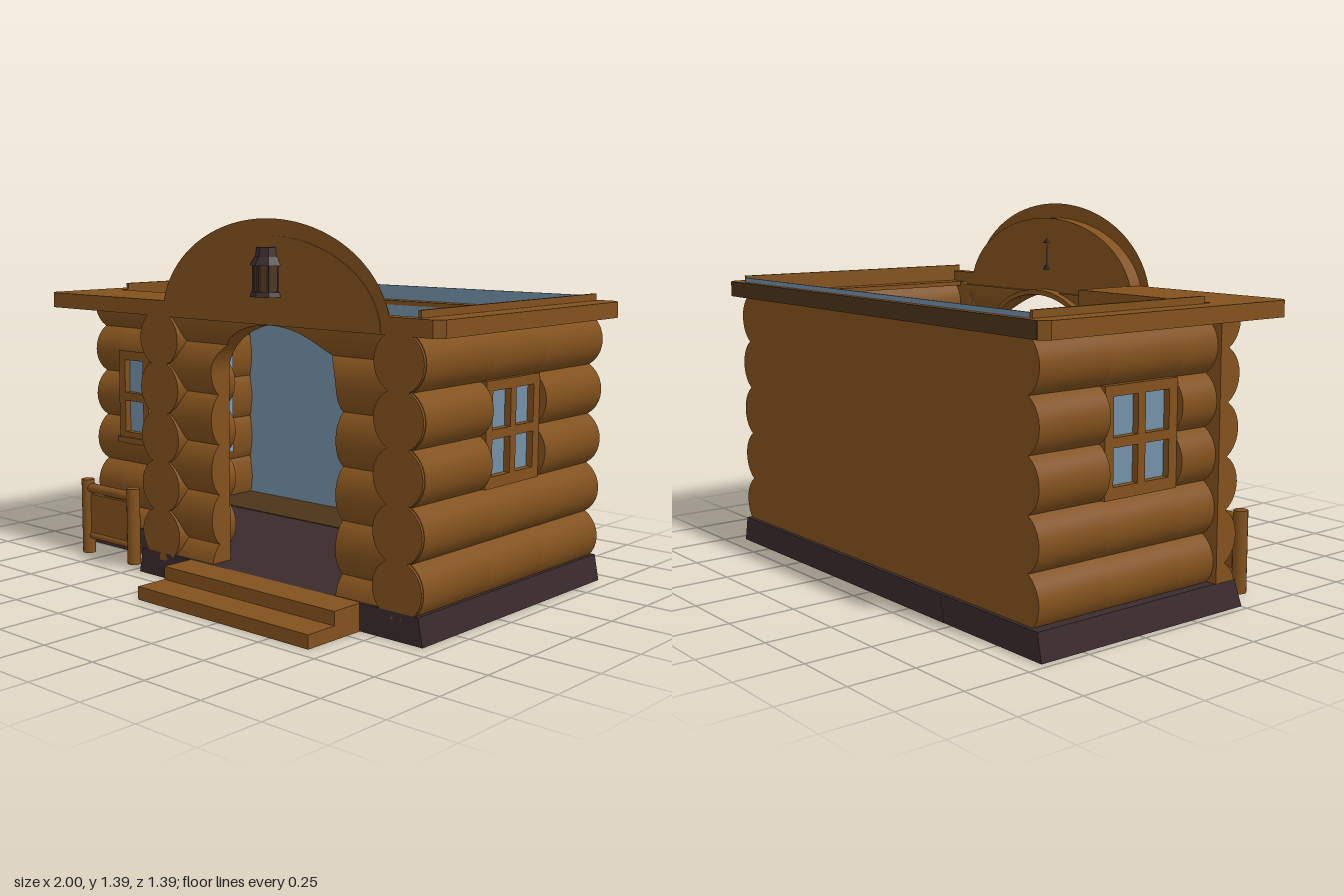
import * as THREE from 'three';
import { toCreasedNormals } from 'three/addons/utils/BufferGeometryUtils.js';

const mat = (name, color) => {
  const m = new THREE.MeshStandardMaterial({ color });
  m.name = name;
  return m;
};
const PITCH = 0.19, R = 0.11;

// 0 at the seam between two logs, 1 at the middle of a log
function bulge(y, seam) {
  const u = (y - seam) / PITCH;
  const t = (u - Math.floor(u) - 0.5) * PITCH;
  return (Math.sqrt(R * R - t * t) - 0.055) / 0.055;
}

// Heights that sample each log evenly by angle
function logRows(y0, y1, seam, extra = []) {
  const rows = [y0, y1, ...extra];
  for (let k = -2; k < 7; k++) {
    for (let i = 0; i < 10; i++) {
      const y = seam + PITCH * (k + 0.5) + R * Math.sin((i / 10 - 0.5) * 2 * Math.asin(0.095 / R));
      if (y > y0 + 0.002 && y < y1 - 0.002) rows.push(y);
    }
  }
  return rows.sort((a, b) => a - b);
}

// Stack of rectangles: section(y) returns [x0, x1, z0, z1]
function loft(rows, section) {
  const pos = [], idx = [];
  rows.forEach((y, r) => {
    const [x0, x1, z0, z1] = section(y);
    pos.push(x0, y, z1, x1, y, z1, x1, y, z0, x0, y, z0);
    if (!r) return;
    for (let i = 0; i < 4; i++) {
      const a = (r - 1) * 4 + i, b = (r - 1) * 4 + (i + 1) % 4;
      idx.push(a, b, b + 4, a, b + 4, a + 4);
    }
  });
  const t = (rows.length - 1) * 4;
  idx.push(0, 2, 1, 0, 3, 2, t, t + 1, t + 2, t, t + 2, t + 3);
  const g = new THREE.BufferGeometry();
  g.setAttribute('position', new THREE.Float32BufferAttribute(pos, 3));
  g.setIndex(idx);
  return toCreasedNormals(g, 0.6);
}

function rectPath(PathType, x0, x1, y0, y1) {
  return new PathType([[x0, y0], [x1, y0], [x1, y1], [x0, y1]].map(p => new THREE.Vector2(...p)));
}

export function createModel() {
  const wood = mat('log brown', 0x82511d);
  wood.side = THREE.DoubleSide;
  const stone = mat('dark foundation', 0x3a2a2c);
  const blue = mat('pale blue', 0x7390a7);
  const lightBlue = mat('light blue', 0x7d9cb5);
  const darkWood = mat('dark wood', 0x4c341a);
  const model = new THREE.Group();
  model.name = 'logCabin';

  const add = (name, geo, m, x = 0, y = 0, z = 0, parent = model) => {
    const mesh = new THREE.Mesh(geo, m);
    mesh.name = name;
    mesh.position.set(x, y, z);
    parent.add(mesh);
    return mesh;
  };
  const box = (name, m, x0, x1, y0, y1, z0, z1, parent) =>
    add(name, new THREE.BoxGeometry(x1 - x0, y1 - y0, z1 - z0), m,
      (x0 + x1) / 2, (y0 + y1) / 2, (z0 + z1) / 2, parent);
  const extrude = (shape, depth) =>
    toCreasedNormals(new THREE.ExtrudeGeometry(shape, { depth, bevelEnabled: false, curveSegments: 32 }), 0.6);

  // Foundation with sloping ends, and brown strips of floor and underside
  add('foundationMain', loft([0.001, 0.1], y => [-0.46 + y * 0.2, 0.945 - y * 0.2, -0.68, 0.435]), stone);
  add('foundationSide', loft([0.001, 0.1], y => [-0.975 + y * 0.2, -0.4, -0.679, 0.25 - y * 0.2]), stone);
  box('floorBack', darkWood, -0.87, 0.82, 0.095, 0.103, -0.61, -0.33);
  box('undersideBack', darkWood, -0.95, 0.92, 0, 0.008, -0.67, -0.33);

  // Steps
  box('lowerStep', wood, -0.17, 0.675, 0, 0.05, 0.43, 0.695);
  box('upperStep', wood, -0.17, 0.675, 0.05, 0.1, 0.43, 0.565);

  // Back wall with painted inner face
  box('backWall', wood, -0.89, 0.885, 0.1, 1.03, -0.665, -0.615);
  box('backWallPaint', blue, -0.87, 0.84, 0.1, 1.03, -0.615, -0.61);

  // Side walls of stacked logs, built around the window opening
  const win = { y0: 0.465, y1: 0.84, half: 0.165 };
  const sideWall = (name, s, inner, innerDepth, outer, z1, winZ) => {
    const sec = (a, b) => y => {
      const k = bulge(y, 0.27);
      const xi = inner + innerDepth * (1 - k), xo = outer + 0.055 * k;
      return s > 0 ? [xi, xo, a, b] : [-xo, -xi, a, b];
    };
    [[0.1, 1.03, -0.665, winZ - win.half], [0.1, 1.03, winZ + win.half, z1],
      [0.1, win.y0, winZ - win.half, winZ + win.half],
      [win.y1, 1.03, winZ - win.half, winZ + win.half]].forEach(([y0, y1, a, b]) =>
      add(name, loft(logRows(y0, y1, 0.27), sec(a, b)), wood));
  };
  sideWall('leftWall', 1, 0.82, 0.04, 0.885, 0.425, -0.12);
  sideWall('rightWall', -1, 0.862, 0.022, 0.89, 0.15, -0.2);

  // Recessed front wall beside the entrance, around its window
  [[0.1, 1.03, -0.96, -0.81], [0.1, 1.03, -0.48, -0.33],
    [0.1, 0.465, -0.81, -0.48], [0.84, 1.03, -0.81, -0.48]].forEach(([y0, y1, a, b]) =>
    add('recessedWall', loft(logRows(y0, y1, 0.17), y => [a, b, 0.13, 0.17 + 0.055 * bulge(y, 0.17)]), wood));

  // Entrance wall, cut by the arched doorway
  const doorHalf = y => y < 0.82 ? 0.305 : 0.305 * Math.sqrt(Math.max(0, 1 - ((y - 0.82) / 0.2) ** 2));
  const rows = logRows(0.1, 1.03, 0.17, [0.82, 0.99, 1.005, 1.013, 1.018, 1.02]);
  const zFront = y => 0.385 + 0.04 * bulge(y, 0.17);
  const zBack = y => 0.38 - 0.02 * bulge(y, 0.17);
  add('entranceWall', loft(rows, y => [-0.33, 0.25 - doorHalf(y), zBack(y), zFront(y)]), wood);
  add('entranceWall', loft(rows, y => [0.25 + doorHalf(y), 0.83, zBack(y), zFront(y)]), wood);

  // Door jamb behind the wall
  const jamb = new THREE.Shape();
  jamb.moveTo(0.575, 0.1).lineTo(0.575, 0.82);
  jamb.absellipse(0.25, 0.82, 0.325, 0.22, 0, Math.PI, false);
  jamb.lineTo(-0.075, 0.1).lineTo(-0.055, 0.1).lineTo(-0.055, 0.82);
  jamb.absellipse(0.25, 0.82, 0.305, 0.2, Math.PI, 0, true);
  jamb.lineTo(0.555, 0.1);
  add('doorJamb', extrude(jamb, 0.05), wood, 0, 0, 0.33);

  // Log ends beside the entrance
  for (let k = 0; k < 5; k++) {
    for (const [x, z0] of [[-0.33, 0.13], [0.833, 0.36]]) {
      const len = 0.435 - z0;
      const g = new THREE.CylinderGeometry(0.105, 0.105, len, 32).rotateX(Math.PI / 2);
      add('logEnd', g, wood, x, 0.175 + PITCH * k, z0 + len / 2);
    }
  }

  // Eaves: a low inner ledge, a raised outer lip with chamfered corners, and thin ridges
  const v = (x, z) => new THREE.Vector2(x, -z);
  const rimLayer = (name, y, depth, xl, xr, zb) => {
    const s = new THREE.Shape([v(-1, 0.405), v(-0.97, 0.435), v(0.97, 0.435), v(1, 0.405),
      v(1, -0.665), v(0.97, -0.695), v(-0.97, -0.695), v(-1, -0.665)]);
    s.holes.push(new THREE.Path([v(xl, zb), v(xr, zb), v(xr, 0.38), v(-0.23, 0.38), v(-0.23, 0.13), v(xl, 0.13)]));
    add(name, extrude(s, depth).rotateX(-Math.PI / 2), wood, 0, y, 0);
  };
  rimLayer('eavesLedge', 1.022, 0.018, -0.87, 0.82, -0.61);
  rimLayer('eavesLip', 1.04, 0.042, -0.905, 0.893, -0.672);
  box('eavesBackFace', darkWood, -0.97, 0.97, 1.022, 1.082, -0.698, -0.694);
  box('rimRidge', wood, 0.893, 0.905, 1.04, 1.108, -0.67, 0.41);
  box('rimRidge', wood, -0.917, -0.905, 1.04, 1.108, -0.67, 0.09);
  box('rimBackStrip', blue, -0.905, 0.893, 1.04, 1.1, -0.672, -0.664);

  // Rounded gable over the entrance, with a flat border behind its face
  const halfEllipse = (a, b) => {
    const s = new THREE.Shape();
    s.moveTo(0.25 + a, 1.022);
    s.absellipse(0.25, 1.022, a, b, 0, Math.PI, false);
    return s;
  };
  add('gable', extrude(halfEllipse(0.51, 0.313), 0.06), wood, 0, 0, 0.38);
  add('gableBorder', new THREE.ShapeGeometry(halfEllipse(0.552, 0.372), 32), wood, 0, 0, 0.437);

  // Windows: frame with four openings and thin glass
  const addWindow = (name, x, y, z, turn, depth) => {
    const g = new THREE.Group();
    g.name = name;
    const frame = rectPath(THREE.Shape, -0.165, 0.165, -0.19, 0.19);
    for (const [a, b] of [[-0.127, -0.017], [0.017, 0.127]]) {
      frame.holes.push(rectPath(THREE.Path, a, b, -0.148, -0.017), rectPath(THREE.Path, a, b, 0.017, 0.153));
    }
    add('windowFrame', extrude(frame, depth), wood, 0, 0, -depth, g);
    box('windowGlass', blue, -0.13, 0.13, -0.155, 0.155, -0.034, -0.026, g);
    g.position.set(x, y, z);
    g.rotation.y = turn;
    model.add(g);
  };
  addWindow('leftWindow', 0.91, 0.653, -0.12, Math.PI / 2, 0.08);
  addWindow('rightWindow', -0.918, 0.653, -0.2, -Math.PI / 2, 0.068);
  addWindow('frontWindow', -0.645, 0.65, 0.23, 0, 0.1);
  box('windowSill', wood, -0.815, -0.475, 0.455, 0.48, 0.2, 0.24);

  // Pale box behind the front window
  box('insideBox', lightBlue, -0.82, -0.43, 0.42, 0.97, -0.06, 0.129);

  // Short railing in front of the recess
  const railing = new THREE.Group();
  railing.name = 'railing';
  model.add(railing);
  for (const x of [-0.855, -0.57]) {
    add('railPost', new THREE.CylinderGeometry(0.027, 0.027, 0.31, 16), wood, x, 0.155, 0.37, railing);
  }
  for (const [y, r] of [[0.275, 0.02], [0.075, 0.015]]) {
    add('rail', new THREE.CylinderGeometry(r, r, 0.285, 12).rotateZ(Math.PI / 2), wood, -0.7125, y, 0.37, railing);
  }
  box('railPanel', wood, -0.855, -0.57, 0.075, 0.25, 0.362, 0.378, railing);

  // Lantern on the gable
  const lantern = new THREE.Group();
  lantern.name = 'lantern';
  lantern.position.set(0.25, 0, 0.435);
  model.add(lantern);
  const ring = (name, m, rTop, rBottom, y0, y1) => {
    const g = new THREE.CylinderGeometry(rTop, rBottom, y1 - y0, 8).toNonIndexed();
    g.computeVertexNormals();
    add(name, g, m, 0, (y0 + y1) / 2, 0, lantern);
  };
  ring('lanternBase', stone, 0.06, 0.066, 1.122, 1.14);
  ring('lanternGlass', darkWood, 0.05, 0.05, 1.14, 1.235);
  ring('lanternRoof', stone, 0.05, 0.066, 1.232, 1.262);
  ring('lanternCap', stone, 0.042, 0.046, 1.262, 1.295);
  for (let i = 0; i < 8; i++) {
    const a = i * Math.PI / 4;
    add('lanternBar', new THREE.BoxGeometry(0.01, 0.1, 0.01), stone,
      0.05 * Math.sin(a), 1.187, 0.05 * Math.cos(a), lantern);
  }

  return model;
}
